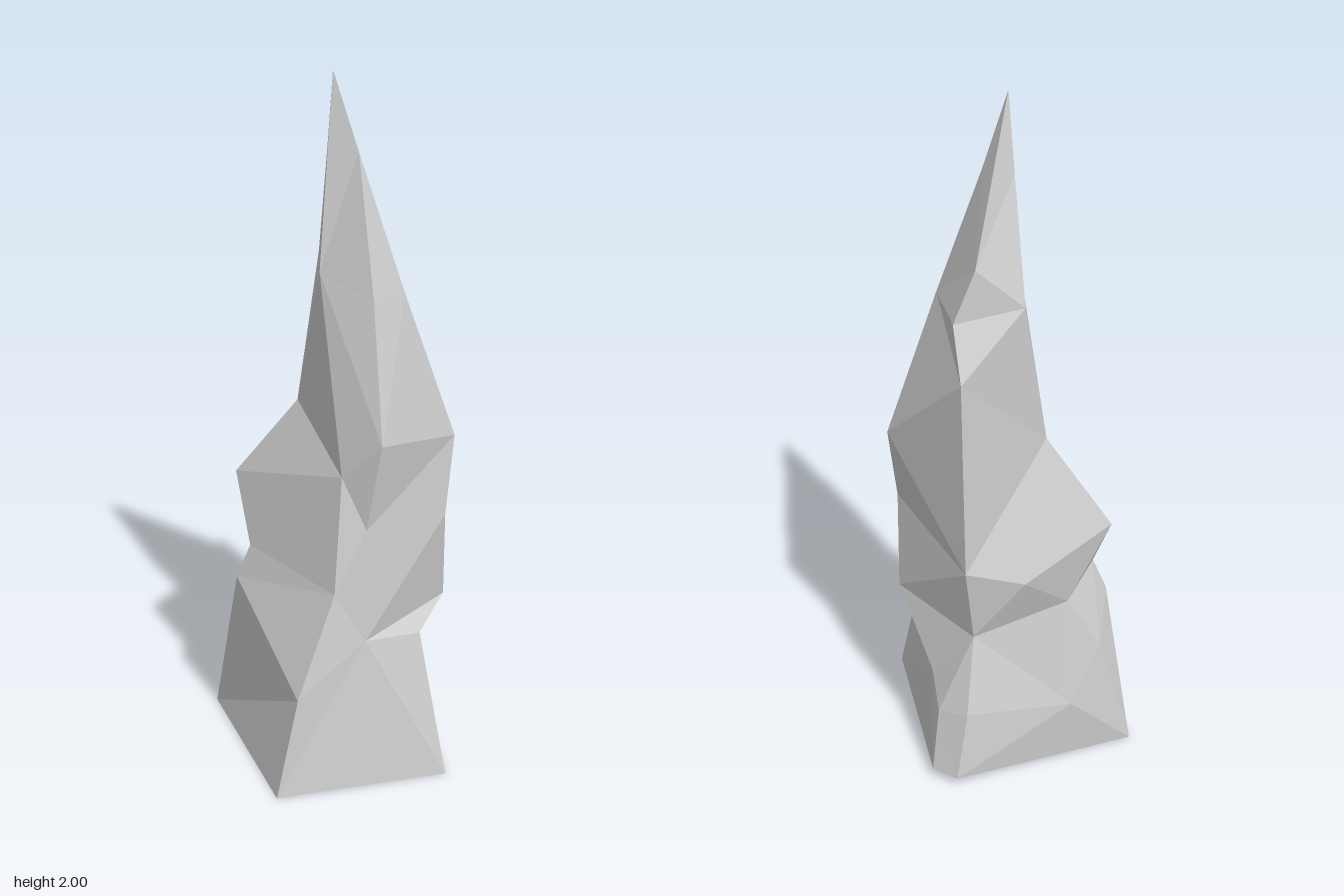
import * as THREE from 'three';

const P = (x, y, z) => new THREE.Vector3(x, y, z);

// Points where neighbouring ridges meet
const tip = P(-0.01, 2, 0);
const frontFoot = P(0.24, 0, 0.31), backFoot = P(-0.31, 0, -0.245), cornerFoot = P(0.29, 0.03, -0.245);
const frontNeck = P(0.055, 1.78, 0.02), backNeck = P(-0.015, 1.78, -0.04);
const notch = P(0.155, 0.45, -0.21), backHip = P(0.18, 0.68, -0.225), backShoulder = P(0.18, 1.27, -0.2);
const sideDent = P(-0.225, 0.58, -0.125), sideHip = P(-0.24, 0.77, -0.23), sideWaist = P(-0.08, 1.02, -0.13);
const sideNeck = P(-0.05, 1.45, 0.01), rearNeck = P(-0.01, 1.45, -0.155);

// Upper runs shared by two ridges each
const upperBack = [notch, backHip, backShoulder, rearNeck, backNeck, tip];
const upperFlank = [sideDent, sideHip, sideWaist, sideNeck, backNeck, tip];

// Ridge lines from foot to tip, running round the rock from the front
const frontRidge = [P(-0.255, 0, 0.31), P(-0.185, 0.29, 0.28), P(-0.065, 0.58, 0.225),
  P(-0.025, 0.9, 0.15), sideNeck, tip];
const faceRidge = [frontFoot, P(0.02, 0.43, 0.24), P(0.03, 0.76, 0.21), P(0.065, 1.02, 0.235),
  P(0.068, 1.4, 0.13), frontNeck, tip];
const sideRidge = [frontFoot, P(0.185, 0.42, 0.215), P(0.295, 0.46, 0.08), P(0.28, 0.74, 0.13),
  P(0.31, 0.97, 0.105), P(0.165, 1.4, 0.09), frontNeck, tip];
const cornerRidge = [cornerFoot, P(0.25, 0.28, -0.11), notch, backHip, backShoulder,
  P(0.172, 1.4, -0.1), P(0.11, 1.55, -0.1), tip];
const chamferRidge = [cornerFoot, P(0.26, 0.21, -0.21), ...upperBack];
const backRidge = [P(0.235, 0.03, -0.31), P(0.195, 0.23, -0.28), ...upperBack];
const rearRidge = [backFoot, P(-0.115, 0.2, -0.28), P(-0.12, 0.52, -0.215), P(0.02, 0.64, -0.262),
  sideWaist, rearNeck, backNeck, tip];
const hollowRidge = [backFoot, P(-0.22, 0.35, -0.22), ...upperFlank];
const flankRidge = [backFoot, P(-0.265, 0.48, -0.13), ...upperFlank];

// Add a triangle unless two of its corners coincide
function addFace(out, a, b, c) {
  if (a === b || b === c || c === a) return;
  for (const p of [a, b, c]) out.push(p.x, p.y, p.z);
}

// Fill the strip between two ridges, always taking the shorter cross edge
function fillStrip(out, a, b) {
  let i = 0, j = 0;
  while (i < a.length - 1 || j < b.length - 1) {
    const stepA = i < a.length - 1 ? a[i + 1].distanceTo(b[j]) : Infinity;
    const stepB = j < b.length - 1 ? a[i].distanceTo(b[j + 1]) : Infinity;
    if (stepA < stepB) addFace(out, a[i], b[j], a[++i]);
    else addFace(out, a[i], b[j], b[++j]);
  }
}

export function createModel() {
  const ridges = [frontRidge, faceRidge, sideRidge, cornerRidge, chamferRidge, backRidge,
    rearRidge, hollowRidge, flankRidge];
  const positions = [];
  ridges.forEach((ridge, k) => fillStrip(positions, ridge, ridges[(k + 1) % ridges.length]));

  const geometry = new THREE.BufferGeometry();
  geometry.setAttribute('position', new THREE.Float32BufferAttribute(positions, 3));
  geometry.computeVertexNormals();

  // Hollow shell, open underneath
  const material = new THREE.MeshStandardMaterial({ color: 0xcccccc, flatShading: true, side: THREE.DoubleSide });
  const spire = new THREE.Mesh(geometry, material);
  spire.name = 'rockSpire';
  const group = new THREE.Group();
  group.name = 'rock';
  group.add(spire);
  return group;
}
